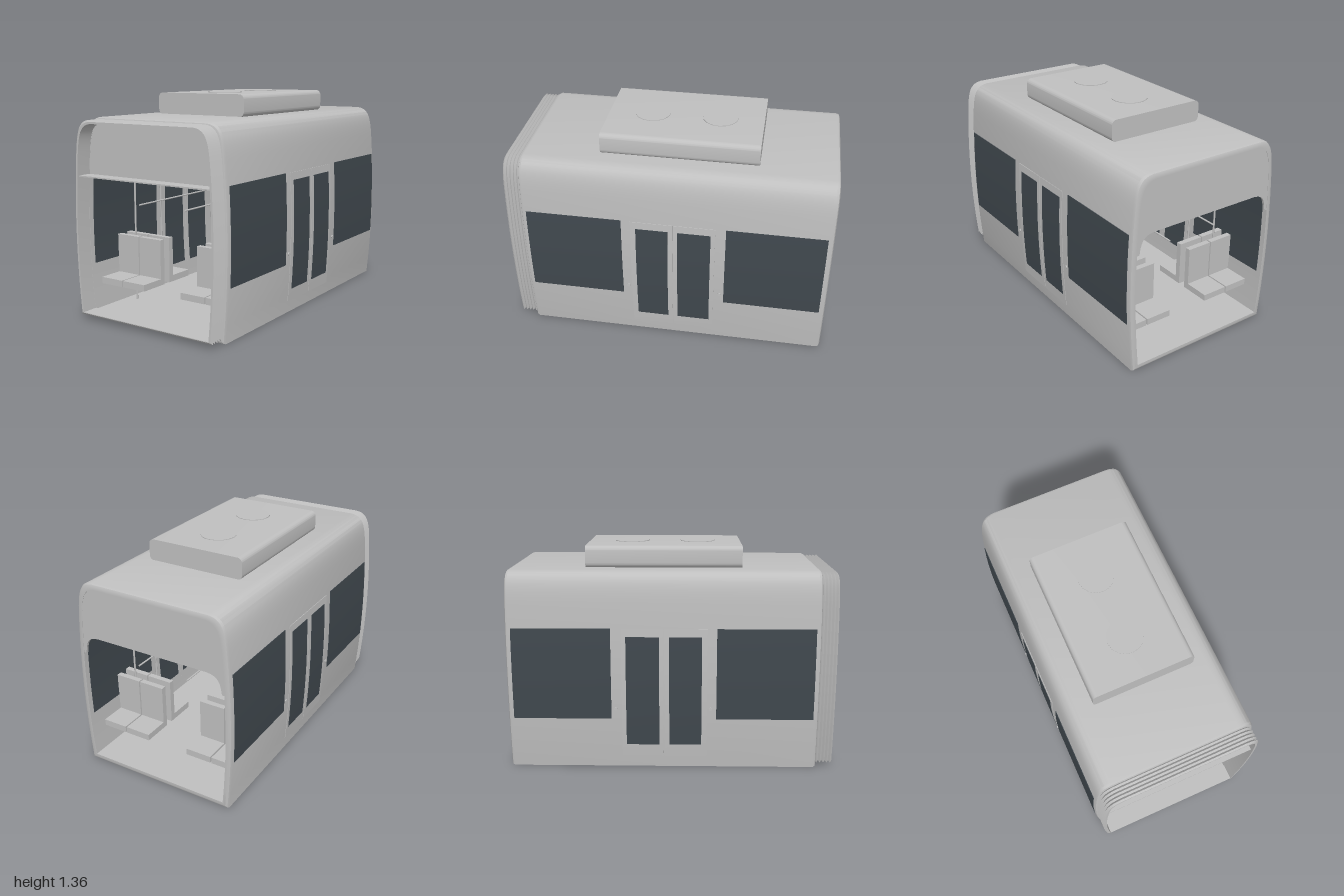
import * as THREE from 'three';
import { toCreasedNormals } from 'three/addons/utils/BufferGeometryUtils.js';

const H = 1.222;
// Half width of the gently bulging side wall at height y
const wallX = (y) => 0.526 - 0.09 * (y - 0.55) ** 2;

// Cross-section of the car, counter-clockwise seen from the front
function profile() {
  const right = [];
  for (let i = 0; i <= 10; i++) right.push([wallX(i * 0.103), i * 0.103]);
  const corner = new THREE.CubicBezierCurve(
    new THREE.Vector2(wallX(1.03), 1.03), new THREE.Vector2(0.493, 1.16),
    new THREE.Vector2(0.475, 1.215), new THREE.Vector2(0.39, H));
  corner.getPoints(10).slice(1).forEach((p) => right.push([p.x, p.y]));
  return [...right, ...right.slice().reverse().map(([x, y]) => [-x, y])];
}

// Profile shrunk by d at sides and top, and by b at the bottom
const ring = (d, b = d) => profile().map(([x, y]) => [x * (1 - d / 0.526), b + y * (H - d - b) / H]);

// Closed tube skinned through sections [z, inset, bottomInset]
function loft(sections) {
  const rings = sections.map(([z, d, b]) => ring(d, b).map(([x, y]) => [x, y, z]));
  const pos = [];
  rings.forEach((r, k) => {
    const s = rings[(k + 1) % rings.length];
    r.forEach((a, i) => {
      const j = (i + 1) % r.length;
      pos.push(...a, ...r[j], ...s[j], ...a, ...s[j], ...s[i]);
    });
  });
  const g = new THREE.BufferGeometry();
  g.setAttribute('position', new THREE.Float32BufferAttribute(pos, 3));
  return toCreasedNormals(g, 0.5);
}

export function createModel() {
  const body = new THREE.MeshStandardMaterial({ name: 'light grey', color: 0xbfbfbf });
  const glass = new THREE.MeshStandardMaterial({ name: 'dark glass', color: 0x40484e });
  const model = new THREE.Group();
  model.name = 'tramSection';

  const add = (name, geo, mat = body, x = 0, y = 0, z = 0, parent = model) => {
    const m = new THREE.Mesh(geo, mat);
    m.name = name;
    m.position.set(x, y, z);
    parent.add(m);
    return m;
  };
  const box = (name, x0, x1, y0, y1, z0, z1, mat = body, parent = model) =>
    add(name, new THREE.BoxGeometry(x1 - x0, y1 - y0, z1 - z0), mat,
      (x0 + x1) / 2, (y0 + y1) / 2, (z0 + z1) / 2, parent);

  // Hollow shell with rounded end edges
  add('bodyShell', loft([
    [-1, 0.018], [-0.994, 0.006], [-0.98, 0], [0.88, 0], [0.894, 0.006],
    [0.9, 0.018], [0.9, 0.036], [-1, 0.036]]));

  // Ribbed gangway bellows
  const ribs = [];
  for (let i = 0; i <= 10; i++) {
    const d = i % 2 ? 0.011 : 0.022;
    ribs.push([0.895 + i * 0.0105, d, d + 0.016]);
  }
  add('bellows', loft([...ribs, [1, 0.034, 0.042], [0.895, 0.034, 0.042]]));

  // Ceiling and end headers
  box('ceiling', -0.484, 0.484, 0.87, 0.878, -0.985, 0.985);
  const upper = ring(0.03).filter(([, y]) => y > 0.88);
  const header = (name, z, arched) => {
    const s = new THREE.Shape();
    if (arched) {
      s.moveTo(-0.485, 0.76);
      s.lineTo(-0.468, 0.76);
      s.bezierCurveTo(-0.46, 0.84, -0.44, 0.872, -0.37, 0.875);
      s.lineTo(0.37, 0.875);
      s.bezierCurveTo(0.44, 0.872, 0.46, 0.84, 0.468, 0.76);
      s.lineTo(0.485, 0.76);
    } else {
      s.moveTo(-0.485, 0.872);
      s.lineTo(0.485, 0.872);
    }
    upper.forEach(([x, y]) => s.lineTo(x, y));
    s.closePath();
    add(name, new THREE.ExtrudeGeometry(s, { depth: 0.015, bevelEnabled: false, curveSegments: 6 }), body, 0, 0, z);
  };
  header('backHeader', -0.998, true);
  header('frontHeader', 0.884, false);

  // Thin plate following the wall; k scales to the inner or outer face
  const plate = (name, s, k, out, y0, y1, z0, z1, mat) => {
    const g = new THREE.BoxGeometry(0.006, y1 - y0, z1 - z0, 1, 10, 1);
    g.translate(0, (y0 + y1) / 2, (z0 + z1) / 2);
    const p = g.attributes.position;
    for (let i = 0; i < p.count; i++) p.setX(i, p.getX(i) + s * (wallX(p.getY(i)) * k + out));
    g.computeVertexNormals();
    add(name, g, mat);
  };

  for (const s of [1, -1]) {
    // Windows and sliding doors on both faces of the wall
    for (const [k, dir] of [[1, 1], [1 - 0.036 / 0.526, -1]]) {
      plate('frontWindow', s, k, dir * 0.0005, 0.32, 0.885, 0.275, 0.868, glass);
      plate('backWindow', s, k, dir * 0.0005, 0.32, 0.885, -0.966, -0.366, glass);
      plate('doorLeaf', s, k, 0, 0.075, 0.882, -0.042, 0.218, body);
      plate('doorLeaf', s, k, 0, 0.075, 0.882, -0.302, -0.047, body);
      plate('doorGlass', s, k, dir * 0.0015, 0.15, 0.835, -0.012, 0.185, glass);
      plate('doorGlass', s, k, dir * 0.0015, 0.15, 0.835, -0.275, -0.073, glass);
    }
    // Door buttons
    for (const z of [0.24, -0.34]) {
      const b = add('doorButton', new THREE.CylinderGeometry(0.01, 0.01, 0.012, 10), body, s * 0.525, 0.385, z);
      b.rotation.z = Math.PI / 2;
    }

    // Back-to-back seat pairs
    for (const zc of [0.6, -0.66]) {
      for (const f of [1, -1]) {
        for (const xc of [0.223, 0.4]) {
          const seat = new THREE.Group();
          seat.name = 'seat';
          seat.position.set(s * xc, 0, zc);
          seat.rotation.y = f > 0 ? 0 : Math.PI;
          box('seatCushion', -0.084, 0.084, 0.18, 0.22, 0.05, 0.22, body, seat);
          box('seatBack', -0.084, 0.084, 0.18, 0.465, 0.025, 0.06, body, seat);
          model.add(seat);
        }
      }
      add('seatPole', new THREE.CylinderGeometry(0.006, 0.006, 0.82, 8), body, s * 0.388, 0.447, zc);
    }
    // Poles beside the doors and the overhead rail
    for (const z of [0.25, -0.335])
      add('doorPole', new THREE.CylinderGeometry(0.006, 0.006, 0.83, 8), body, s * 0.468, 0.45, z);
    const rail = add('handrail', new THREE.CylinderGeometry(0.005, 0.005, 1.7, 8), body, s * 0.168, 0.705, -0.04);
    rail.rotation.x = Math.PI / 2;
  }
  add('centrePole', new THREE.CylinderGeometry(0.006, 0.006, 0.84, 8), body, 0, 0.453, -0.04);

  // Hanging information display
  box('displayCase', -0.123, 0.123, 0.755, 0.842, -0.02, 0.02);
  for (const z of [0.021, -0.021])
    box('displayScreen', -0.113, 0.113, 0.764, 0.834, z - 0.002, z + 0.002, glass);

  // Roof unit with two round fan covers
  const r = 0.032, w = 0.32, y0 = 1.219, y1 = 1.354;
  const roof = new THREE.Shape();
  roof.absarc(w - r, y0 + r, r, -Math.PI / 2, 0);
  roof.absarc(w - r, y1 - r, r, 0, Math.PI / 2);
  roof.absarc(-w + r, y1 - r, r, Math.PI / 2, Math.PI);
  roof.absarc(-w + r, y0 + r, r, Math.PI, Math.PI * 1.5);
  add('roofUnit', toCreasedNormals(new THREE.ExtrudeGeometry(roof,
    { depth: 0.96, bevelEnabled: false, curveSegments: 5 }), 0.6), body, 0, 0, -0.53);
  for (const z of [0.16, -0.26])
    add('fanCover', new THREE.CylinderGeometry(0.11, 0.11, 0.008, 16), body, 0, 1.354, z);

  return model;
}
